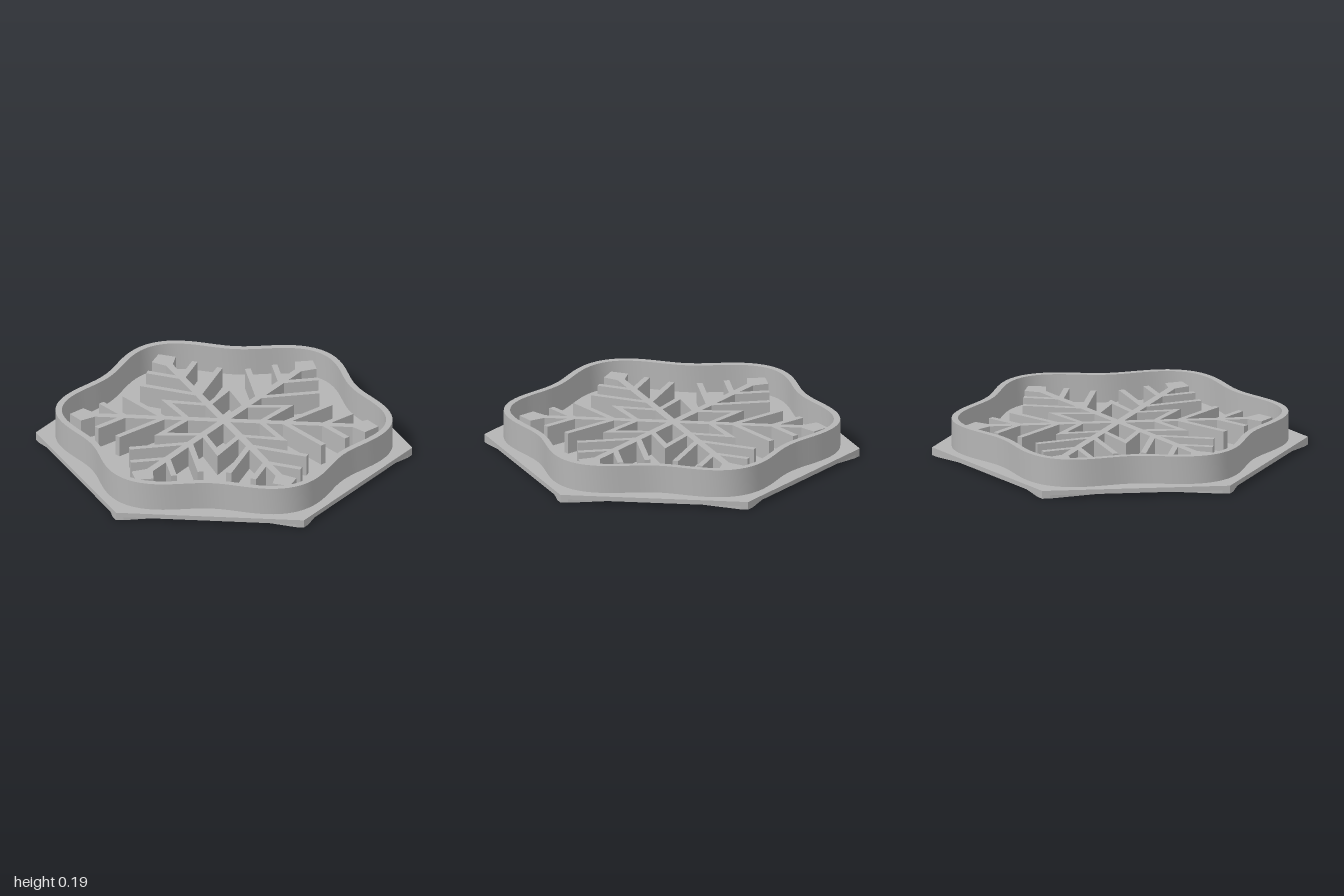
import * as THREE from 'three';
import { toCreasedNormals } from 'three/addons/utils/BufferGeometryUtils.js';

const V = (x, y) => new THREE.Vector2(x, y);
const turn = (p, a) => p.clone().rotateAround(V(0, 0), a);
const SIXTH = Math.PI / 3;

// Repeat a short run of points six times around the centre
const sixfold = (points) =>
  Array.from({ length: 6 }, (_, i) => points.map((p) => turn(p, i * SIXTH))).flat();

export function createModel() {
  const group = new THREE.Group();
  const grey = new THREE.MeshStandardMaterial({ color: 0xb4b4b4 });
  grey.name = 'grey';

  // Upright extrusion of a flat outline between two heights
  function slab(name, outline, holes, y0, y1, smooth = false) {
    const shape = new THREE.Shape(outline);
    shape.holes = holes.map((h) => new THREE.Path(h));
    let geo = new THREE.ExtrudeGeometry(shape, { depth: y1 - y0, bevelEnabled: false });
    geo.rotateX(-Math.PI / 2);
    if (smooth) geo = toCreasedNormals(geo, 0.5);
    const mesh = new THREE.Mesh(geo, grey);
    mesh.name = name;
    mesh.position.y = y0;
    group.add(mesh);
    return mesh;
  }

  // Hexagonal base plate
  slab('basePlate', sixfold([V(1, 0)]), [], 0.018, 0.043);

  // Thin star-shaped foot ridge, flush with the plate at its corners
  const corner = V(1, 0);
  const next = turn(corner, SIXTH);
  const ridge = sixfold([
    corner,
    corner.clone().lerp(next, 0.04),
    turn(V(0.76, 0), SIXTH / 2),
    corner.clone().lerp(next, 0.96),
  ]);
  const ridgeInner = sixfold([V(0.965, 0), turn(V(0.735, 0), SIXTH / 2)]);
  slab('footRidge', ridge, [ridgeInner], 0, 0.018);

  // Wavy six-lobed rim wall
  const N = 144;
  const lobe = (a) => turn(V(0.835 + 0.06 * Math.cos(6 * a), 0), a);
  const outer = [];
  const inner = [];
  for (let i = 0; i < N; i++) {
    const a = (i / N) * Math.PI * 2;
    const p = lobe(a);
    const t = lobe(a + 0.001).sub(lobe(a - 0.001)).normalize();
    outer.push(p);
    inner.push(V(p.x - t.y * 0.034, p.y + t.x * 0.034));
  }
  slab('rimWall', outer, [inner], 0.043, 0.195, true);

  // Snowflake: half an arm from its tip back to the star point between arms
  const half = [
    V(0.755, 0.07), V(0.685, 0.02),
    V(0.567, 0.02), V(0.676, 0.129), V(0.654, 0.151), V(0.523, 0.02), // short branch
    V(0.359, 0.02), V(0.558, 0.219), V(0.536, 0.241), V(0.315, 0.02), // long branch
    V(0.225, 0.02),
  ];
  const mirrored = half.map((p) => V(p.x, -p.y)).reverse();
  const arm = [...mirrored, V(0.82, 0), ...half, turn(V(0.408, 0), SIXTH / 2)];
  const diamond = [V(0.04, 0), V(0.175, 0.077), V(0.335, 0), V(0.175, -0.077)];
  const holes = Array.from({ length: 6 }, (_, i) =>
    diamond.map((p) => turn(p, (i + 0.5) * SIXTH)));
  slab('snowflake', sixfold(arm), holes, 0.043, 0.157).position.z = -0.01;

  return group;
}
